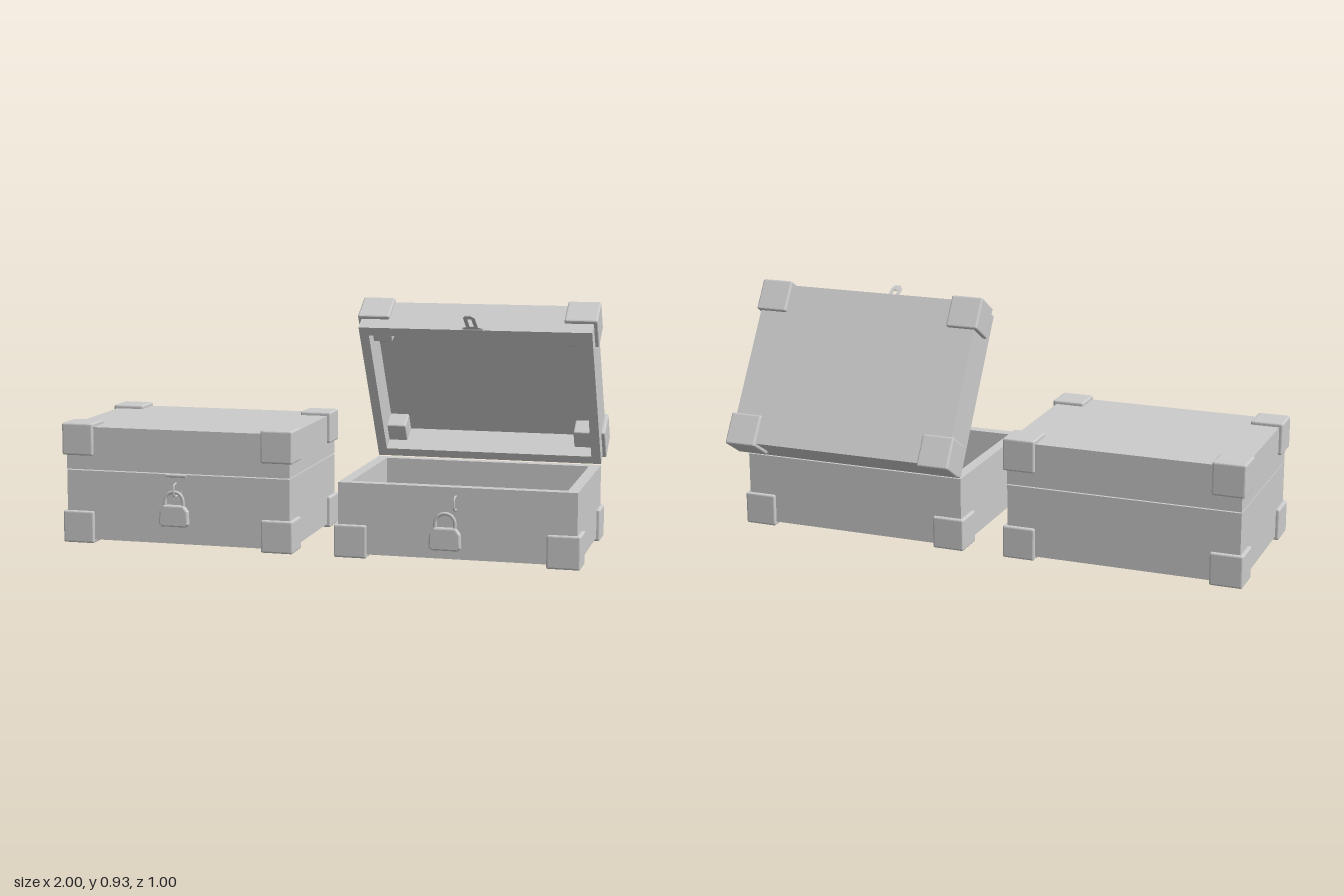
import * as THREE from 'three';
import { RoundedBoxGeometry } from 'three/addons/geometries/RoundedBoxGeometry.js';

const material = new THREE.MeshStandardMaterial({ color: 0xcccccc, flatShading: true });
const smooth = new THREE.MeshStandardMaterial({ color: 0xcccccc });
const W = 0.89, D = 0.64;          // chest width and depth
const CAP = 0.124, LIP = 0.014;    // corner cap size and how far it stands out

function add(parent, name, geometry, x = 0, y = 0, z = 0, mat = material) {
  const mesh = new THREE.Mesh(geometry, mat);
  mesh.name = name;
  mesh.position.set(x, y, z);
  parent.add(mesh);
  return mesh;
}

function rect(Type, w, h) {
  const p = new Type();
  p.moveTo(-w / 2, -h / 2);
  p.lineTo(w / 2, -h / 2);
  p.lineTo(w / 2, h / 2);
  p.lineTo(-w / 2, h / 2);
  p.closePath();
  return p;
}

// Open-topped tray with corner caps; serves as the base and, upside down, as the lid
function tray(name, height, wall, floor, hollowFront) {
  const group = new THREE.Group();
  group.name = name;
  const ring = rect(THREE.Shape, W, D);
  ring.holes.push(rect(THREE.Path, W - 2 * wall, D - 2 * wall));
  const walls = new THREE.ExtrudeGeometry(ring, { depth: height - floor, bevelEnabled: false });
  walls.rotateX(-Math.PI / 2);
  add(group, name + 'Walls', walls, 0, floor, 0);
  add(group, name + 'Panel', new THREE.BoxGeometry(W, floor, D), 0, floor / 2, 0);

  const r = 0.007, t = 0.03;
  for (const sx of [-1, 1]) for (const sz of [-1, 1]) {
    const x = sx * (W / 2 + LIP - CAP / 2), y = CAP / 2 - LIP, z = sz * (D / 2 + LIP - CAP / 2);
    if (hollowFront && sz > 0) {
      // front caps only wrap the outside
      const off = (CAP - t) / 2;
      add(group, 'cornerCapFront', new RoundedBoxGeometry(CAP, CAP, t, 2, r), x, y, z + off);
      add(group, 'cornerCapSide', new RoundedBoxGeometry(t, CAP, CAP, 2, r), x + sx * off, y, z);
      add(group, 'cornerCapBottom', new RoundedBoxGeometry(CAP, t, CAP, 2, r), x, y - off, z);
    } else {
      add(group, 'cornerCap', new RoundedBoxGeometry(CAP, CAP, CAP, 2, r), x, y, z);
    }
  }
  return group;
}

// Slotted flap hanging from a knuckle
function hasp() {
  const group = new THREE.Group();
  group.name = 'hasp';
  const knuckle = new THREE.CylinderGeometry(0.007, 0.007, 0.08, 12).rotateZ(Math.PI / 2);
  add(group, 'haspKnuckle', knuckle, 0, 0, 0, smooth);
  const shape = new THREE.Shape([
    [-0.038, 0], [-0.038, -0.012], [-0.022, -0.022], [-0.022, -0.095], [-0.01, -0.112],
    [0.01, -0.112], [0.022, -0.095], [0.022, -0.022], [0.038, -0.012], [0.038, 0],
  ].map(([x, y]) => new THREE.Vector2(x, y)));
  const slot = rect(THREE.Path, 0.016, 0.06);
  const hole = new THREE.Path(slot.getPoints().map((p) => new THREE.Vector2(p.x, p.y - 0.057)));
  shape.holes.push(hole);
  add(group, 'haspFlap', new THREE.ExtrudeGeometry(shape, { depth: 0.004, bevelEnabled: false }), 0, 0, -0.002);
  return group;
}

// Hook-shaped staple on the front wall
function staple() {
  const path = new THREE.CatmullRomCurve3([
    [0.28, 0.248], [0.315, 0.248], [0.33, 0.242], [0.333, 0.225], [0.33, 0.207], [0.315, 0.2], [0.28, 0.2],
  ].map(([z, y]) => new THREE.Vector3(0, y, z)));
  return new THREE.TubeGeometry(path, 24, 0.004, 8, false);
}

function padlock() {
  const group = new THREE.Group();
  group.name = 'padlock';
  const b = 0.006;
  const shape = new THREE.Shape([
    [-0.045, 0.093], [0.045, 0.093], [0.052, 0.1], [0.05, 0.145], [0.036, 0.163],
    [-0.036, 0.163], [-0.05, 0.145], [-0.052, 0.1],
  ].map(([x, y]) => new THREE.Vector2(x, y)));
  const body = new THREE.ExtrudeGeometry(shape, {
    depth: 0.028 - 2 * b, bevelThickness: b, bevelSize: b, bevelSegments: 2,
  });
  add(group, 'padlockBody', body, 0, 0, -0.014 + b);

  // shackle: half ring on two legs
  const R = 0.036, tube = 0.0065, top = 0.184;
  add(group, 'shackleArch', new THREE.TorusGeometry(R, tube, 10, 20, Math.PI), 0, top, 0, smooth);
  for (const s of [-1, 1]) {
    add(group, 'shackleLeg', new THREE.CylinderGeometry(tube, tube, 0.034, 10), s * R, top - 0.017, 0, smooth);
  }
  return group;
}

function chest(name, x, lidAngle, haspAngle, padlockZ) {
  const group = new THREE.Group();
  group.name = name;
  group.position.x = x;

  const base = tray('base', 0.267, 0.042, 0.03, true);
  base.position.set(0, LIP, -0.025);
  group.add(base);
  add(group, 'staple', staple(), 0, 0, 0, smooth);

  // lid swings about the top back edge of the base
  const hinge = new THREE.Group();
  hinge.name = 'lidHinge';
  hinge.position.set(0, 0.285, -0.345);
  hinge.rotation.x = -lidAngle;
  const lid = tray('lid', 0.165, 0.036, 0.036, false);
  lid.rotation.z = Math.PI;
  lid.position.set(0, 0.165, D / 2);
  hinge.add(lid);
  const flap = hasp();
  flap.position.set(0, -0.007, 0.648);
  flap.rotation.x = -haspAngle;
  hinge.add(flap);
  group.add(hinge);

  const lock = padlock();
  lock.position.z = padlockZ;
  group.add(lock);
  return group;
}

export function createModel() {
  const model = new THREE.Group();
  model.name = 'chests';
  const deg = Math.PI / 180;
  model.add(chest('closedChest', -0.541, 0, 0, 0.327));
  model.add(chest('openChest', 0.536, 58 * deg, 64 * deg, 0.488));
  return model;
}
